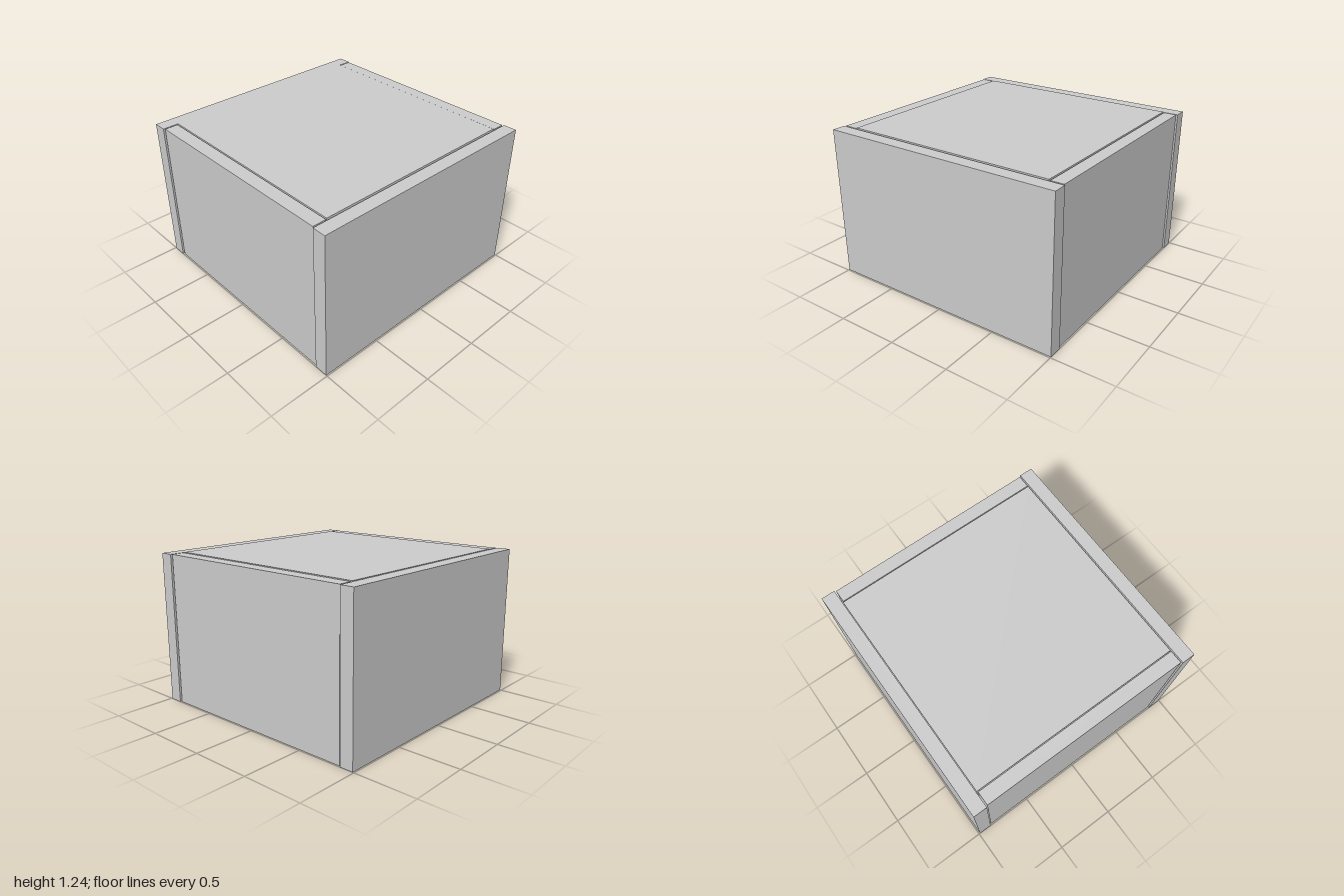
import * as THREE from 'three';

export function createModel() {
  const group = new THREE.Group();
  const material = new THREE.MeshStandardMaterial({ color: 0xcccccc, flatShading: true });

  // A flat board given by its minimum and maximum corners
  function board(name, [x0, y0, z0], [x1, y1, z1]) {
    const mesh = new THREE.Mesh(new THREE.BoxGeometry(x1 - x0, y1 - y0, z1 - z0), material);
    mesh.position.set((x0 + x1) / 2, (y0 + y1) / 2, (z0 + z1) / 2);
    mesh.name = name;
    group.add(mesh);
  }

  const height = 1.235;

  // Full-depth side walls
  board('leftWall', [0.881, 0, -1], [0.991, height, 1]);
  board('rightWall', [-0.991, 0, -1], [-0.881, height, 1]);

  // Front and back walls, set between the sides with a narrow gap
  board('frontWall', [-0.87, 0, 0.88], [0.87, height, 0.99]);
  board('backWall', [-0.87, 0, -0.99], [0.87, height, -0.885]);

  // Lid panel, standing slightly proud of the walls; the underside is open
  board('topPanel', [-0.876, 1.13, -0.876], [0.868, 1.24, 0.873]);

  return group;
}
